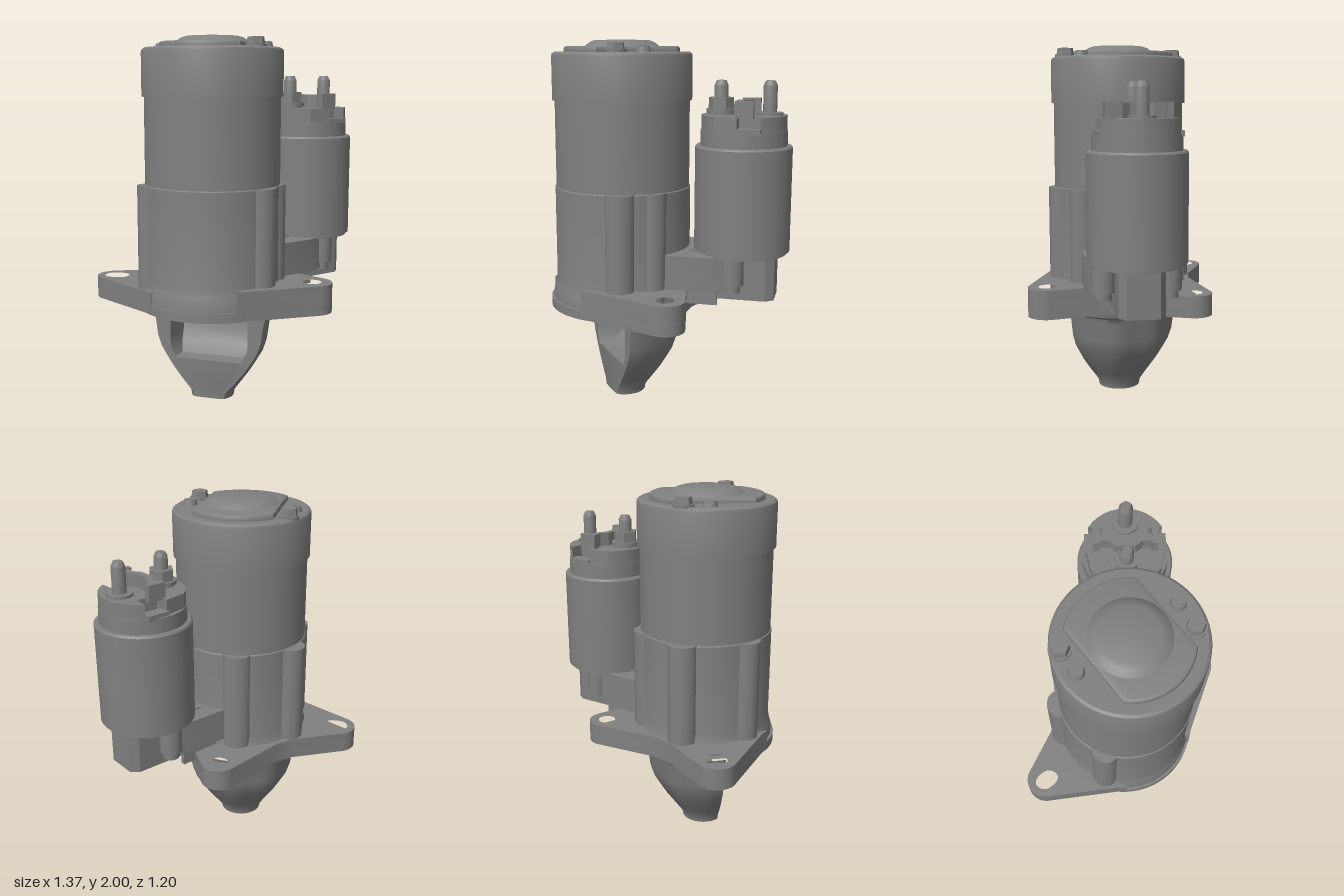
import * as THREE from 'three';
import { toCreasedNormals } from 'three/addons/utils/BufferGeometryUtils.js';

const grey = new THREE.MeshStandardMaterial({ color: 0x808080 });
grey.name = 'grey metal';

const MX = 0.008, MZ = 0.19; // motor axis

function add(parent, name, geo, x = 0, y = 0, z = 0) {
  const m = new THREE.Mesh(geo, grey);
  m.name = name;
  m.position.set(x, y, z);
  parent.add(m);
  return m;
}
const cyl = (parent, name, r, y0, y1, x, z, sides = 32, rTop = r) =>
  add(parent, name, toCreasedNormals(new THREE.CylinderGeometry(rTop, r, y1 - y0, sides), 0.6), x, (y0 + y1) / 2, z);
const box = (parent, name, w, y0, y1, d, x, z) =>
  add(parent, name, new THREE.BoxGeometry(w, y1 - y0, d), x, (y0 + y1) / 2, z);
const lathe = (parent, name, pts, x, z, seg = 72) =>
  add(parent, name, toCreasedNormals(new THREE.LatheGeometry(pts.map(p => new THREE.Vector2(...p)), seg), 0.5), x, 0, z);

// Plan helpers: points are [x, z]
const arc = (cx, cz, r, a0, a1, n = 12) => Array.from({ length: n + 1 }, (_, i) => {
  const a = THREE.MathUtils.degToRad(a0 + (a1 - a0) * i / n);
  return [cx + r * Math.cos(a), cz + r * Math.sin(a)];
});
const toVec = pts => pts.map(([x, z]) => new THREE.Vector2(x, -z));
function slab(parent, name, pts, holes, y0, y1, bevel = 0) {
  const s = new THREE.Shape(toVec(pts));
  holes.forEach(h => s.holes.push(new THREE.Path(toVec(h))));
  const g = new THREE.ExtrudeGeometry(s, {
    depth: y1 - y0 - bevel, bevelEnabled: bevel > 0, bevelSize: bevel, bevelThickness: bevel,
    bevelOffset: -bevel, bevelSegments: 2
  });
  g.rotateX(-Math.PI / 2);
  return add(parent, name, toCreasedNormals(g, 0.5), 0, y0, 0);
}

// Open-fronted pinion nose, lofted through fluted D-shaped sections
function noseGeometry() {
  // y, radius, depth of the front face at the middle
  const rings = [[0, 0.12, 0.085], [0.03, 0.125, 0.085], [0.1, 0.175, 0.085], [0.17, 0.225, 0.085],
    [0.22, 0.255, 0.085], [0.225, 0.258, 0.0], [0.28, 0.29, -0.07], [0.34, 0.31, -0.1], [0.45, 0.325, -0.12],
    [0.48, 0.335, -0.12], [0.495, 0.36, -0.12], [0.535, 0.37, -0.12]];
  const N = 48, front = 0.082, pos = [], idx = [];
  rings.forEach(([y, R, zp], j) => {
    const T = Math.acos(-front / R), edge = R * Math.sin(T);
    const flute = j > 1 && y < 0.49 ? 0.03 : 0;
    for (let i = 0; i <= N; i++) {
      const t = -T + 2 * T * i / N;
      const r = R * (1 + flute * Math.cos(7 * t) * Math.cos(t / T * Math.PI / 2));
      pos.push(r * Math.sin(t), y, -r * Math.cos(t));
    }
    const w = Math.min(0.225, edge * 0.8);
    pos.push(w, y, front, w * 0.93, y, zp, -w * 0.93, y, zp, -w, y, front);
  });
  const M = N + 5;
  for (let j = 0; j < rings.length - 1; j++) for (let i = 0; i < M; i++) {
    const a = j * M + i, b = j * M + (i + 1) % M;
    idx.push(a, a + M, b + M, a, b + M, b);
  }
  for (let i = 1; i < M - 1; i++) idx.push(0, i, i + 1);
  const g = new THREE.BufferGeometry();
  g.setAttribute('position', new THREE.Float32BufferAttribute(pos, 3));
  g.setIndex(idx);
  return toCreasedNormals(g, 0.6);
}

function buildFlange(root) {
  const f = new THREE.Group();
  f.name = 'mountingFlange';
  root.add(f);
  const slot = [...arc(-0.56, 0.185, 0.057, -90, 90), ...arc(-0.588, 0.185, 0.057, 90, 270)];
  const rightHole = arc(0.57, 0.185, 0.05, 0, 345, 23);
  const backHole = arc(0.005, -0.385, 0.048, 0, 345, 23);
  const backEar = arc(0.005, -0.385, 0.1, -150, -30);
  const rightEar = arc(0.572, 0.185, 0.106, -58, 58);
  const leftEar = arc(-0.582, 0.185, 0.106, 122, 238);
  const rightWaist = [[0.27, -0.12], [0.35, -0.045]], leftWaist = [[-0.35, -0.045], [-0.27, -0.12]];
  const pockets = [
    [[-0.47, 0.12], [-0.425, 0.07], [-0.425, 0.3], [-0.47, 0.26]],
    [[0.47, 0.12], [0.435, 0.07], [0.435, 0.3], [0.47, 0.26]],
    [[-0.06, -0.27], [0.06, -0.27], [0.16, -0.21], [-0.16, -0.21]]
  ];
  slab(f, 'flangeBase', [...backEar, ...rightWaist, ...rightEar, ...arc(MX, MZ, 0.41, 47, 133, 24), ...leftEar, ...leftWaist],
    [slot, rightHole, backHole, ...pockets], 0.53, 0.58);
  slab(f, 'flangeRightEar', [[0.03, -0.1], ...rightWaist, ...rightEar, ...arc(MX, MZ, 0.41, 47, 55, 3), [0.24, 0.48], [0.03, 0.3]],
    [rightHole], 0.58, 0.69);
  slab(f, 'flangeLeftEar', [...backEar, [0.27, -0.12], [0.1, 0.2], [-0.1, 0.3], [-0.24, 0.48],
    ...arc(MX, MZ, 0.41, 125, 133, 3), ...leftEar, ...leftWaist], [slot, backHole], 0.58, 0.65);
}

function buildMotor(root) {
  const m = new THREE.Group();
  m.name = 'motor';
  root.add(m);
  lathe(m, 'gearHousing', [[0.395, 0.57], [0.395, 0.62], [0.383, 0.66], [0.376, 0.7], [0.376, 1.205], [0.37, 1.21], [0, 1.21]], MX, MZ);
  lathe(m, 'motorBody', [[0.37, 1.2], [0.37, 1.69]], MX, MZ);
  lathe(m, 'endCap', [[0.37, 1.68], [0.383, 1.68], [0.383, 1.915], [0.379, 1.928], [0.366, 1.937], [0, 1.937]], MX, MZ);
  // raised end pad with straight sides and a low dome
  const T = 47;
  slab(m, 'endPad', [...arc(MX, MZ, 0.315, -90 - T + 3, -90 + T - 3, 20), ...arc(MX, MZ, 0.315, 90 - T + 3, 90 + T - 3, 20)],
    [], 1.93, 1.966, 0.015);
  lathe(m, 'endDome', [[0.21, 1.96], [0.195, 1.972], [0.17, 1.99], [0.145, 1.998], [0, 2.0]], MX, MZ);
  // lengthwise bosses on the gear housing
  [[-0.31, 0.03, 0.082], [0.315, 0.33, 0.082], [0.335, 0.15, 0.072], [-0.28, 0.38, 0.075],
    [-0.04, -0.135, 0.085]].forEach(([x, z, r]) => cyl(m, 'housingBoss', r, 0.57, 1.21, x, z, 24));
  // fasteners on the end cap
  [[-0.28, 0.032], [0.284, 0.332]].forEach(([x, z]) => {
    cyl(m, 'boltWasher', 0.057, 1.93, 1.948, x, z);
    cyl(m, 'hexBolt', 0.05, 1.948, 1.985, x, z, 6, 0.044);
  });
  [[-0.288, 0.168], [0.3, 0.187]].forEach(([x, z], i) => {
    cyl(m, 'screwHead', 0.042, 1.93, 1.965, x, z, 24, 0.034);
    box(m, 'screwRecess', 0.05, 1.965, 1.968, 0.01, x, z).rotation.y = i ? 0.3 : 1.2;
    if (i) box(m, 'screwRecess', 0.01, 1.965, 1.968, 0.05, x, z).rotation.y = 0.3;
  });
}

function buildSolenoid(root) {
  // local -z runs from the motor axis towards the solenoid axis
  const s = new THREE.Group();
  s.name = 'solenoid';
  s.position.set(MX, 0, MZ);
  s.rotation.y = -0.654;
  root.add(s);
  const D = -0.674;

  // bracket joining housing and solenoid, with lever block and screws below
  slab(s, 'solenoidBracket', [[-0.22, -0.1], [0.25, -0.1], [0.25, -0.5], [0.2, -0.64], [-0.2, -0.64], [-0.22, -0.5]], [], 0.69, 0.875);
  box(s, 'bracketWeb', 0.3, 0.6, 0.7, 0.3, 0, -0.33);
  const lever = [[-0.12, -0.4], [0.12, -0.4], [0.12, -0.82], [0.085, -0.865], [-0.085, -0.865], [-0.12, -0.82]];
  slab(s, 'leverBlock', lever, [], 0.62, 0.885);
  for (const sx of [-1, 1]) {
    cyl(s, 'screwBoss', 0.062, 0.72, 0.885, sx * 0.175, -0.65, 24);
    cyl(s, 'solenoidScrew', 0.045, 0.68, 0.72, sx * 0.175, -0.65, 16);
    box(s, 'bracketRib', 0.025, 0.6, 0.75, 0.3, sx * 0.17, -0.42);
  }
  // can and insulating cap
  lathe(s, 'solenoidCan', [[0, 0.865], [0.245, 0.865], [0.245, 0.88], [0.26, 0.88], [0.26, 1.44], [0.252, 1.45], [0, 1.45]], 0, D);
  lathe(s, 'solenoidCap', [[0.232, 1.44], [0.232, 1.53], [0, 1.53]], 0, D);
  slab(s, 'terminalBase', [...arc(0, D, 0.228, -150, -30), [0.12, D - 0.11], [0.12, D + 0.01], [0.21, D + 0.01],
    ...arc(0, D, 0.228, 35, 145), [-0.21, D + 0.01], [-0.12, D + 0.01], [-0.12, D - 0.11]], [], 1.52, 1.61);
  slab(s, 'terminalBarrier', [[-0.17, D - 0.03], [-0.08, D - 0.03], [-0.04, D], [0.04, D], [0.08, D - 0.03], [0.17, D - 0.03],
    [0.17, D + 0.01], [0.09, D + 0.01], [0.05, D + 0.04], [-0.05, D + 0.04], [-0.09, D + 0.01], [-0.17, D + 0.01]], [], 1.6, 1.685);
  for (const sx of [-1, 1]) {
    box(s, 'sideClip', 0.07, 1.52, 1.55, 0.13, sx * 0.185, D - 0.045);
    box(s, 'barrierEnd', 0.035, 1.6, 1.69, 0.1, sx * 0.155, D - 0.02);
  }
  // terminal studs
  for (const dz of [-0.135, 0.125]) {
    cyl(s, 'terminalCollar', 0.07, 1.6, 1.625, 0, D + dz, 24);
    lathe(s, 'terminalStud', [[0.037, 1.6], [0.037, 1.765], [0.025, 1.79], [0, 1.79]], 0, D + dz, 24);
  }
  cyl(s, 'terminalWasher', 0.08, 1.62, 1.64, 0, D + 0.125, 24);
  cyl(s, 'terminalNut', 0.068, 1.64, 1.7, 0, D + 0.125, 6);
}

export function createModel() {
  const root = new THREE.Group();
  root.name = 'starterMotor';
  add(root, 'pinionNose', noseGeometry(), MX, 0, MZ);
  buildFlange(root);
  buildMotor(root);
  buildSolenoid(root);
  return root;
}
